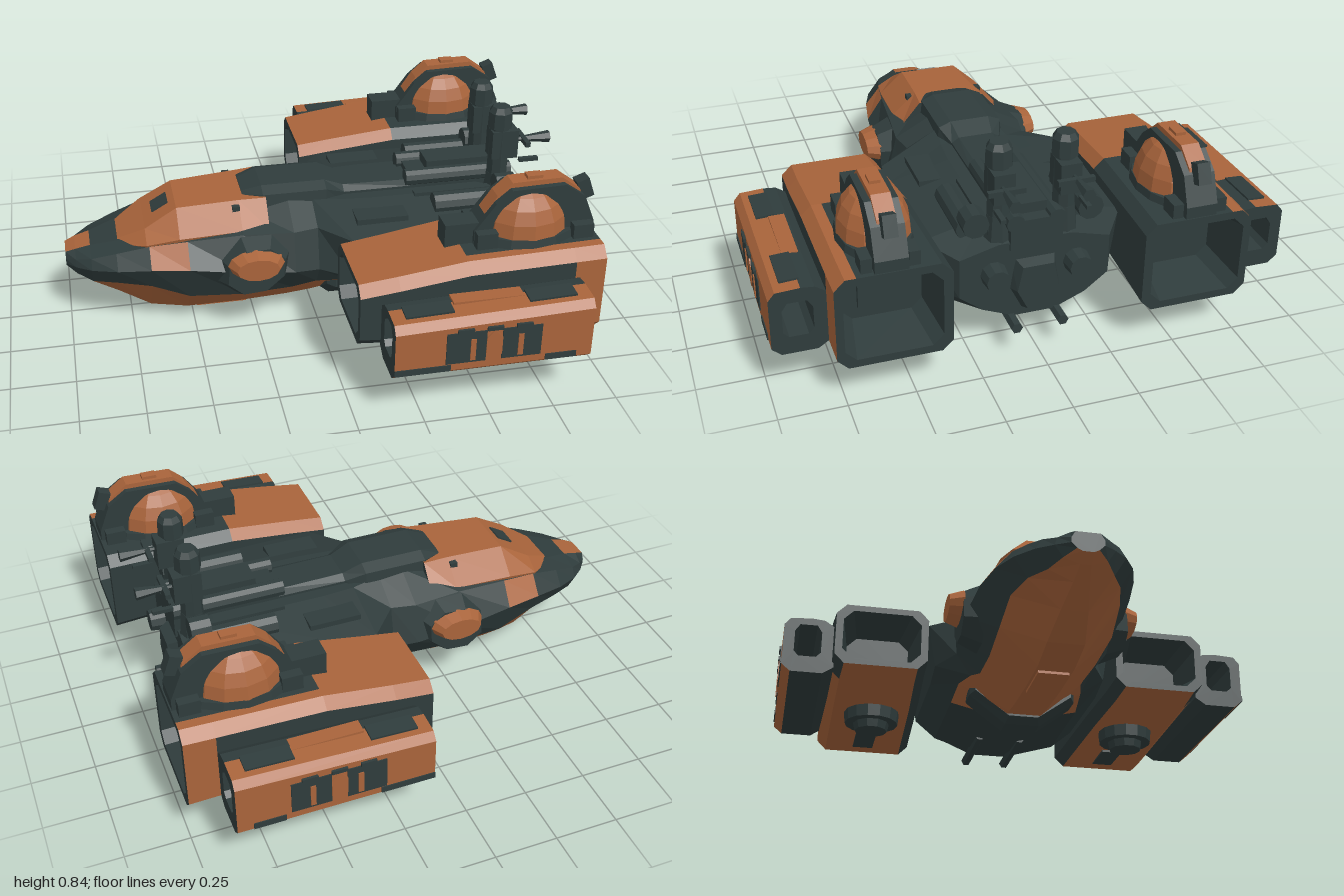
import * as THREE from 'three';

const rust = new THREE.MeshStandardMaterial({ color: 0xa9643b });
rust.name = 'rust paint';
const slate = new THREE.MeshStandardMaterial({ color: 0x2f3c3c });
slate.name = 'dark slate';

// Faceted mesh with its transform baked in, so it can be mirrored cleanly
function part(name, geo, mat, pos = [0, 0, 0], rot = [0, 0, 0], scale = [1, 1, 1]) {
  const g = geo.index ? geo.toNonIndexed() : geo;
  const q = new THREE.Quaternion().setFromEuler(new THREE.Euler(...rot));
  g.applyMatrix4(new THREE.Matrix4().compose(new THREE.Vector3(...pos), q, new THREE.Vector3(...scale)));
  g.computeVertexNormals();
  const m = new THREE.Mesh(g, mat);
  m.name = name;
  return m;
}
// Box given by its min and max on each axis
const box = (name, mat, [x0, x1], [y0, y1], [z0, z1]) => part(name,
  new THREE.BoxGeometry(x1 - x0, y1 - y0, z1 - z0), mat, [(x0 + x1) / 2, (y0 + y1) / 2, (z0 + z1) / 2]);
// Cylinder lying along x
const pipe = (name, mat, x0, x1, y, z, r, r2 = r, sides = 10) => part(name,
  new THREE.CylinderGeometry(r, r2, x1 - x0, sides), mat, [(x0 + x1) / 2, y, z], [0, 0, Math.PI / 2]);

// Loft through sections { x, ring: [[z, y], ...] }; isRust(x, strip, section) picks the colour
function loft(name, secs, isRust, caps = true) {
  const lists = [[], []];
  const n = secs[0].ring.length;
  const v = (i, j) => [secs[i].x, secs[i].ring[j % n][1], secs[i].ring[j % n][0]];
  for (let i = 0; i < secs.length - 1; i++) for (let j = 0; j < n; j++) {
    const a = v(i, j), b = v(i, j + 1), c = v(i + 1, j), d = v(i + 1, j + 1);
    const mid = (secs[i].x + secs[i + 1].x) / 2;
    lists[isRust(mid, j, i) ? 0 : 1].push(...a, ...c, ...b, ...b, ...c, ...d);
  }
  const e = secs.length - 1;
  if (caps) for (let j = 1; j < n - 1; j++) {
    lists[1].push(...v(0, 0), ...v(0, j), ...v(0, j + 1), ...v(e, 0), ...v(e, j + 1), ...v(e, j));
  }
  const g = new THREE.BufferGeometry();
  g.setAttribute('position', new THREE.Float32BufferAttribute([...lists[0], ...lists[1]], 3));
  g.addGroup(0, lists[0].length / 3, 0);
  g.addGroup(lists[0].length / 3, lists[1].length / 3, 1);
  return part(name, g, [rust, slate]);
}
// Section from half a profile [z, y, z, y, ...] running bottom to top
function symmetric([x, ...p]) {
  const half = [];
  for (let i = 0; i < p.length; i += 2) half.push([p[i], p[i + 1]]);
  return { x, ring: [...half, ...half.slice().reverse().map(([z, y]) => [-z, y])] };
}
// Copy of a group reflected in z, with the winding restored
function mirrored(group) {
  const out = new THREE.Group();
  out.name = group.name.replace('left', 'right');
  for (const m of group.children) {
    const g = m.geometry.clone(), p = g.attributes.position;
    const t = new THREE.Vector3(), u = new THREE.Vector3();
    for (let i = 0; i < p.count; i += 3) {
      t.fromBufferAttribute(p, i + 1);
      u.fromBufferAttribute(p, i + 2);
      p.setXYZ(i + 1, u.x, u.y, u.z);
      p.setXYZ(i + 2, t.x, t.y, t.z);
    }
    for (let i = 0; i < p.count; i++) p.setZ(i, -p.getZ(i));
    g.computeVertexNormals();
    const c = new THREE.Mesh(g, m.material);
    c.name = m.name;
    out.add(c);
  }
  return out;
}

function createBody() {
  const body = new THREE.Group();
  body.name = 'body';
  // Hull: keel, paint line, chine, shoulder, deck edge
  const hull = [
    [-1, .02, .24, .04, .25, .06, .27, .06, .29, .045, .315],
    [-.96, .02, .21, .08, .23, .11, .275, .1, .305, .055, .33],
    [-.9, .03, .17, .12, .21, .165, .285, .14, .325, .06, .345],
    [-.8, .05, .11, .17, .22, .22, .3, .17, .355, .09, .37],
    [-.67, .07, .04, .205, .21, .262, .315, .2, .39, .1, .41],
    [-.52, .07, .01, .215, .15, .29, .315, .225, .41, .1, .45],
    [-.3, .07, .01, .21, .13, .31, .29, .25, .43, .1, .48],
    [-.1, .07, .02, .21, .14, .31, .27, .27, .43, .12, .51],
    [.0, .07, .03, .23, .17, .29, .26, .25, .43, .12, .5],
    [.12, .07, .05, .26, .18, .36, .25, .39, .43, .14, .49],
    [.25, .08, .1, .27, .145, .36, .22, .39, .43, .15, .49],
    [.7, .08, .11, .27, .145, .36, .22, .39, .43, .15, .49],
    [.84, .08, .13, .2, .18, .29, .25, .29, .41, .14, .45],
  ].map(symmetric);
  body.add(loft('hull', hull, (x, j) => (x < .2 && (j === 0 || j === 8 || j === 9))
    || (x < -.9 && j === 4) || (x > -.67 && x < -.52 && (j === 2 || j === 6))));
  // Canopy armour
  body.add(loft('canopy', [
    [-.79, .11, .34, .11, .36, .08, .375], [-.68, .19, .36, .2, .395, .13, .435],
    [-.55, .21, .38, .22, .42, .12, .51], [-.3, .22, .4, .23, .435, .13, .525],
    [-.19, .22, .4, .225, .43, .14, .53],
  ].map(symmetric), () => true));
  body.add(part('cockpitWindow', new THREE.BoxGeometry(.075, .008, .085), slate, [-.61, .478, 0], [0, 0, .52]));
  // Spine and rear deck machinery
  body.add(loft('spine', [
    [-.28, .07, .45, .09, .525, .06, .53], [-.2, .14, .45, .13, .535, .08, .555],
    [.06, .14, .45, .13, .535, .08, .555], [.14, .1, .45, .1, .5, .07, .52], [.42, .1, .45, .1, .5, .07, .515],
  ].map(symmetric), () => false));
  body.add(box('deckBlock', slate, [.42, .85], [.42, .54], [-.1, .1]));
  body.add(box('deckHousing', slate, [.5, .8], [.53, .58], [-.055, .055]));
  body.add(loft('rearHousing', [
    [.8, .06, .15, .11, .25, .09, .39], [.88, .04, .18, .08, .26, .06, .36],
  ].map(symmetric), () => false));
  // Broad keel foot and belly skid
  body.add(loft('keelFoot', [
    [.05, .06, .03, .2, .13, .2, .17], [.085, .07, .005, .22, .12, .22, .17],
    [.17, .07, .005, .22, .12, .22, .17], [.205, .065, .03, .21, .125, .21, .17], [.225, .06, .08, .2, .135, .2, .17],
  ].map(symmetric), () => false));
  body.add(box('bellySkid', rust, [-.48, -.27], [0, .03], [-.06, .06]));
  return body;
}

function createBodySide() {
  const g = new THREE.Group();
  g.name = 'left body fittings';
  // Side blister in an eight-sided frame
  g.add(part('blisterFrame', new THREE.CylinderGeometry(.125, .17, .08, 8), slate, [-.26, .3, .285], [Math.PI / 2, Math.PI / 8, 0], [1, 1, .8]));
  g.add(part('blister', new THREE.CylinderGeometry(.085, .115, .055, 12), rust, [-.26, .335, .347], [Math.PI / 2, 0, 0], [1, 1, .55]));
  g.add(box('canopyVent', slate, [-.33, -.3], [.48, .512], [.14, .165]));
  // Deck pipes
  g.add(pipe('deckTank', slate, .48, .75, .48, .23, .045));
  g.add(pipe('deckTankCap', slate, .74, .82, .53, .22, .05));
  g.add(pipe('deckPipe', slate, .4, .85, .53, .08, .035));
  g.add(box('deckRib', slate, [.42, .8], [.45, .5], [.14, .17]));
  g.add(box('deckHatch', slate, [.15, .36], [.44, .475], [.18, .3]));
  // Stern thrusters and lower rods
  g.add(pipe('sternThruster', slate, .8, .9, .33, .16, .055, .045));
  g.add(pipe('lowerRod', slate, .55, .91, .12, .09, .022, .022, 6));
  // Stern tower
  g.add(part('towerBase', new THREE.CylinderGeometry(.045, .06, .14, 8), slate, [.78, .48, .125]));
  g.add(part('towerColumn', new THREE.CylinderGeometry(.04, .045, .24, 8), slate, [.78, .64, .125]));
  g.add(part('towerHead', new THREE.CylinderGeometry(.05, .052, .065, 8), slate, [.78, .785, .125]));
  g.add(part('towerCap', new THREE.CylinderGeometry(.035, .05, .025, 8), slate, [.78, .828, .125]));
  g.add(box('towerCollar', slate, [.74, .85], [.62, .74], [.085, .165]));
  g.add(pipe('towerSpike', slate, .83, .99, .69, .135, .006, .025, 6));
  g.add(box('towerCrossbar', slate, [.87, .89], [.68, .7], [.06, .2]));
  g.add(box('towerAntenna', slate, [.86, .94], [.6, .615], [.15, .17]));
  return g;
}

function createEngine() {
  const g = new THREE.Group();
  g.name = 'left engine';
  // Nacelle: front recess, outer shell, rear recess in one loft
  const shell = (x, zi, zo, yb, yt, c = .04) => ({ x, ring: [[zi + c, yb], [zo - c, yb], [zo, yb + c],
    [zo, yt - c], [zo - c, yt], [zo - 2 * c, yt], [zi + c, yt], [zi, yt - c], [zi, yb + c]] });
  g.add(loft('nacelle', [
    shell(.25, .46, .72, .25, .4), shell(.05, .43, .75, .225, .435), shell(.05, .4, .78, .2, .46),
    shell(.2, .395, .785, .19, .48), shell(.47, .38, .785, .18, .515), shell(.88, .365, .782, .165, .523),
    shell(1, .36, .78, .16, .525), shell(1, .395, .75, .19, .495), shell(.8, .42, .72, .22, .46),
  ], (x, j, i) => i > 1 && i < 6 && (j === 0 || j === 3 || j === 4 || (j === 1 && x > .2)
    || (j === 2 && x > .88) || ((j === 5 || j === 6) && x < .47))));
  g.add(box('exhaustPanel', slate, [.8, .82], [.27, .41], [.48, .66]));
  // Belly dish and slot
  g.add(part('bellyDish', new THREE.CylinderGeometry(.12, .115, .05, 14), slate, [.54, .155, .575]));
  g.add(part('bellyHub', new THREE.CylinderGeometry(.08, .07, .04, 10), slate, [.54, .117, .575]));
  g.add(box('bellySlot', slate, [.75, .93], [.158, .168], [.53, .62]));
  // Roof dome with a central arch and painted arch strip
  const arch = new THREE.Shape([[.52, .5], [.52, .57], [.6, .68], [.66, .73], [.87, .735], [.95, .68], [.995, .57], [.995, .5]]
    .map(([x, y]) => new THREE.Vector2(x, y)));
  const archGeo = depth => new THREE.ExtrudeGeometry(arch, { depth, bevelEnabled: false });
  g.add(part('domeArch', archGeo(.12), slate, [0, 0, .515]));
  g.add(part('archStrip', archGeo(.07), rust, [.053, .02, .54], [0, 0, 0], [.93, 1, 1]));
  g.add(part('dome', new THREE.SphereGeometry(1, 12, 5, 0, Math.PI * 2, 0, Math.PI / 2), rust, [.735, .55, .575], [0, 0, 0], [.165, .185, .135]));
  g.add(part('domeSkirt', new THREE.CylinderGeometry(.2, .21, .035, 14), slate, [.735, .534, .575], [0, 0, 0], [1, 1, .67]));
  g.add(box('domeTopHatch', rust, [.73, .79], [.74, .765], [.555, .595]));
  g.add(box('roofStep', slate, [.41, .56], [.5, .6], [.53, .62]));
  g.add(part('tailFin', new THREE.BoxGeometry(.05, .08, .05), slate, [.965, .69, .575], [0, 0, .35]));
  for (const z of [.49, .66]) {
    for (const x of [.56, .94]) g.add(box('archRail', slate, [x - .04, x + .04], [.51, .58], [z - .02, z + .02]));
  }

  // Side pod: open tunnel from front to back
  const pod = (x, dy) => ({ x, ring: [[.82, .18], [.95, .18], [.985, .21], [.985, .4 + dy], [.96, .43 + dy],
    [.87, .435 + dy], [.82, .43 + dy], [.775, .4 + dy], [.775, .21]] });
  const hole = x => ({ x, ring: [[.85, .25], [.92, .25], [.94, .27], [.94, .36], [.92, .39], [.88, .39], [.85, .39], [.83, .36], [.83, .27]] });
  g.add(loft('sidePod', [hole(.13), pod(.13, -.015), pod(.88, .01), hole(.88), hole(.13)],
    (x, j, i) => i === 1 && j >= 1 && j <= 4, false));
  // Painted plates on the pod flank and roof
  const flank = [[.32, .47, .24, .37], [.53, .68, .24, .37], [.13, .34, .21, .235], [.7, .82, .21, .235]];
  for (const [x0, x1, y0, y1] of flank) g.add(box('podPanel', slate, [x0, x1], [y0, y1], [.982, .989]));
  for (const x of [.42, .6]) g.add(box('podPanelBar', rust, [x - .01, x + .01], [.25, .34], [.985, .993]));
  g.add(part('podDiamond', new THREE.CylinderGeometry(.07, .07, .009, 6), rust, [.5, .3, .987], [Math.PI / 2, 0, 0], [.5, 1, 1]));
  for (const x of [.39, .5, .61]) g.add(box('podClamp', slate, [x - .03, x + .03], [.37, .385], [.97, .995]));
  g.add(box('podRoofPatch', rust, [.37, .64], [.428, .437], [.83, .89]));
  for (const x of [.27, .735]) {
    g.add(part('podRoofPanel', new THREE.BoxGeometry(.18, .008, .07), slate, [x, .4185 + x * .0335, .9], [.055, 0, .033]));
  }
  return g;
}

export function createModel() {
  const model = new THREE.Group();
  model.name = 'spaceship';
  const fittings = createBodySide(), engine = createEngine();
  model.add(createBody(), fittings, mirrored(fittings), engine, mirrored(engine));
  return model;
}
